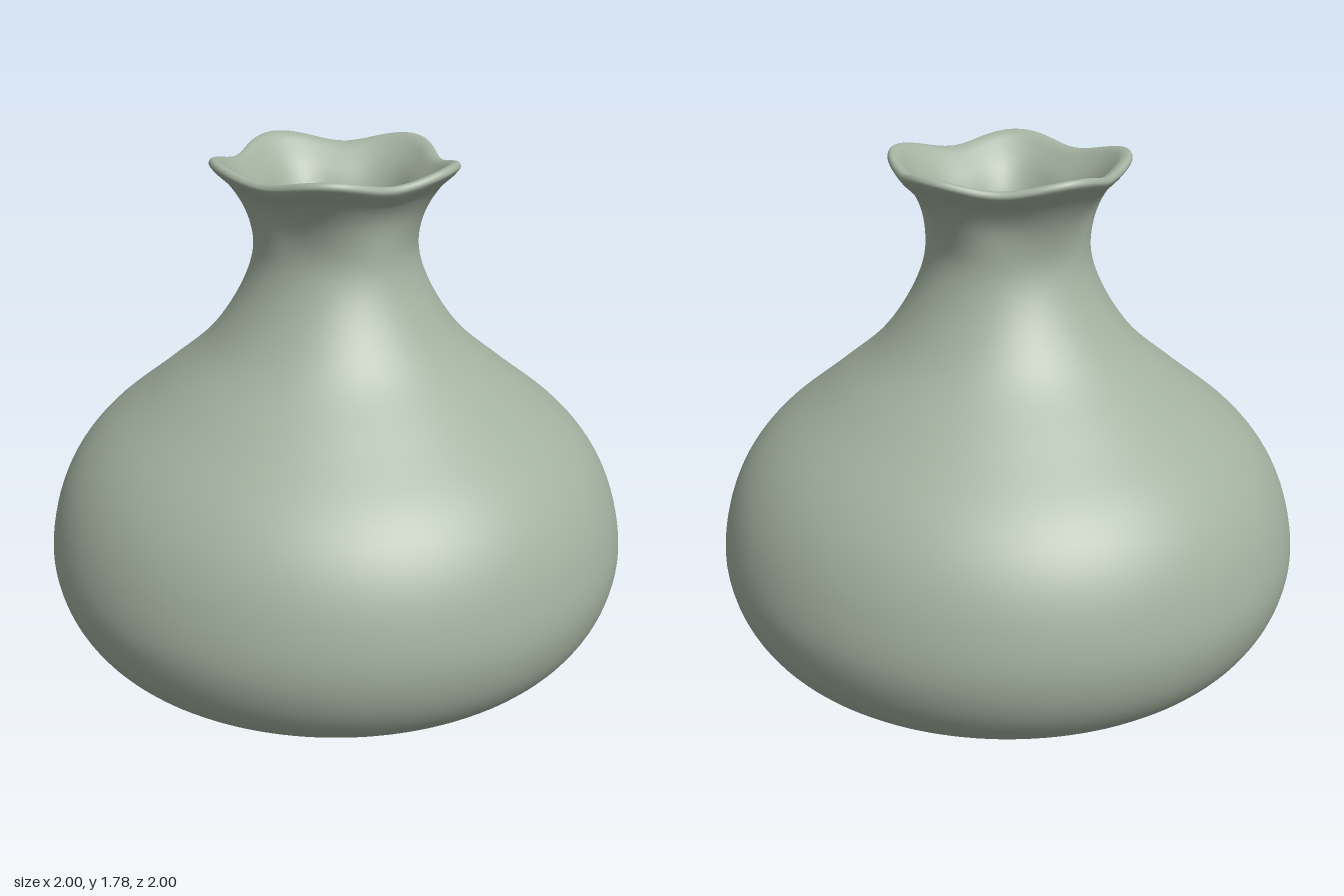
import * as THREE from 'three';

const LOBES = 5;

// Smooth surface of revolution, wrapped without a seam; the neck ruffles out into lobes
function ruffledShell(profile, rings, segments) {
  const curve = new THREE.CatmullRomCurve3(
    profile.map(([r, y]) => new THREE.Vector3(r, y, 0)), false, 'centripetal');
  const positions = [], indices = [];
  for (let i = 0; i <= rings; i++) {
    const p = curve.getPoint(i / rings);
    const flare = THREE.MathUtils.smoothstep(p.y, 1.46, 1.75);
    for (let j = 0; j < segments; j++) {
      const a = (j / segments) * Math.PI * 2;
      const wave = flare * Math.cos(LOBES * (a - Math.PI));
      const r = Math.max(p.x, 0) + 0.026 * wave;
      positions.push(r * Math.cos(a), p.y + 0.018 * wave, r * Math.sin(a));
      if (i === rings) continue;
      const k = (j + 1) % segments;
      const a0 = i * segments + j, a1 = i * segments + k;
      indices.push(a0, a0 + segments, a1, a1, a0 + segments, a1 + segments);
    }
  }
  const geometry = new THREE.BufferGeometry();
  geometry.setAttribute('position', new THREE.Float32BufferAttribute(positions, 3));
  geometry.setIndex(indices);
  geometry.computeVertexNormals();
  return geometry;
}

export function createModel() {
  const group = new THREE.Group();
  group.name = 'vase';
  const glaze = new THREE.MeshStandardMaterial({ color: 0xa3b1a0 });
  glaze.name = 'sage glaze';
  const dark = new THREE.MeshStandardMaterial({ color: 0x3f5053 });
  dark.name = 'dark slate';

  // Outer wall up to the lip, over it, and down the inner wall
  const profile = [
    [0.002, 0], [0.3, 0.001], [0.58, 0.006], [0.72, 0.03], [0.86, 0.1], [0.955, 0.22],
    [1, 0.38], [0.98, 0.55], [0.92, 0.7], [0.82, 0.83], [0.62, 0.995], [0.44, 1.15],
    [0.335, 1.3], [0.285, 1.42], [0.276, 1.5], [0.294, 1.6], [0.335, 1.675], [0.38, 1.72],
    [0.394, 1.742], [0.385, 1.757], [0.36, 1.752],
    [0.32, 1.715], [0.275, 1.66], [0.237, 1.58], [0.225, 1.5], [0.235, 1.41], [0.29, 1.27],
    [0.4, 1.12], [0.59, 0.955], [0.78, 0.79], [0.87, 0.67], [0.93, 0.53], [0.945, 0.38],
    [0.9, 0.24], [0.8, 0.13], [0.66, 0.06], [0.44, 0.03], [0.002, 0.025],
  ];
  const body = new THREE.Mesh(ruffledShell(profile, 190, 140), glaze);
  body.name = 'body';
  group.add(body);

  // Dark floor seen down through the neck
  const floor = new THREE.Mesh(new THREE.CircleGeometry(0.44, 64), dark);
  floor.name = 'innerFloor';
  floor.rotation.x = -Math.PI / 2;
  floor.position.y = 0.036;
  group.add(floor);

  return group;
}
